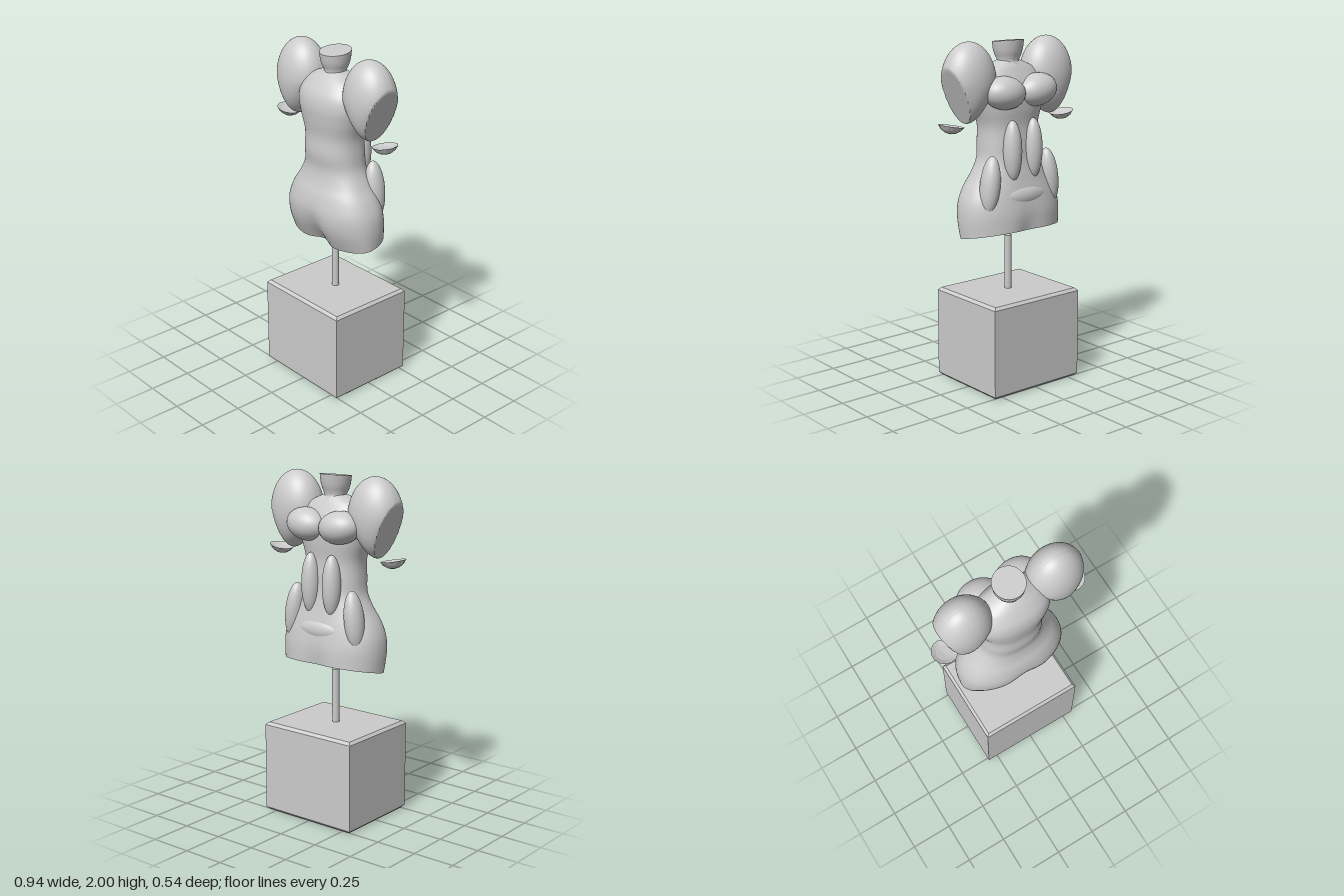
import * as THREE from 'three';
import { toCreasedNormals } from 'three/addons/utils/BufferGeometryUtils.js';

const material = new THREE.MeshStandardMaterial({ color: 0xcccccc });
const flatMaterial = new THREE.MeshStandardMaterial({ color: 0xcccccc, flatShading: true, side: THREE.DoubleSide });

function add(parent, name, geometry, mat = material) {
  const mesh = new THREE.Mesh(geometry, mat);
  mesh.name = name;
  parent.add(mesh);
  return mesh;
}

// Torso cross-sections: height, half width, depth towards +z, depth towards -z
const SECTIONS = [
  [0.894, 0.325, 0.13, 0.205], [1.0, 0.33, 0.18, 0.2], [1.09, 0.32, 0.197, 0.187],
  [1.17, 0.287, 0.182, 0.172], [1.25, 0.235, 0.153, 0.155], [1.33, 0.195, 0.14, 0.14],
  [1.42, 0.185, 0.15, 0.135], [1.52, 0.184, 0.147, 0.13], [1.62, 0.212, 0.16, 0.14],
  [1.7, 0.23, 0.165, 0.14], [1.77, 0.218, 0.15, 0.12], [1.83, 0.17, 0.11, 0.09],
  [1.862, 0.11, 0.08, 0.07], [1.885, 0.055, 0.05, 0.05],
];

// Smoothly interpolated cross-section at t in 0..1
function sectionAt(t) {
  const f = t * (SECTIONS.length - 1);
  const i = Math.min(Math.floor(f), SECTIONS.length - 2);
  const u = f - i;
  const at = (k) => SECTIONS[Math.max(0, Math.min(SECTIONS.length - 1, k))];
  return [0, 1, 2, 3].map((c) => {
    const [p, a, b, n] = [at(i - 1)[c], at(i)[c], at(i + 1)[c], at(i + 2)[c]];
    return a + 0.5 * u * (b - p + u * (2 * p - 5 * a + 4 * b - n + u * (3 * (a - b) + n - p)));
  });
}

function torsoPoint(t, angle) {
  const [y, w, front, back] = sectionAt(t);
  const soft = (v) => Math.sign(v) * Math.abs(v) ** 0.88;
  const x = w * soft(Math.cos(angle));
  const s = soft(Math.sin(angle));
  const low = THREE.MathUtils.clamp((1.2 - y) / 0.306, 0, 1);
  // Cleft between the two lower halves, deepest at the cut
  const groove = Math.exp(-((x / 0.075) ** 2)) * low * low * (s > 0 ? 0.35 : 0.12);
  const z = s * (s > 0 ? front : back) * (1 - groove);
  return [x, y - 0.205 * z * low, z];
}

function torsoGeometries(rows = 78, cols = 72) {
  const pos = [], index = [], capPos = [0, 0.894, 0], capIndex = [];
  for (let r = 0; r <= rows; r++) {
    for (let c = 0; c < cols; c++) {
      const p = torsoPoint(r / rows, (c / cols) * Math.PI * 2);
      pos.push(...p);
      const n = (c + 1) % cols;
      if (r === 0) {
        capPos.push(...p);
        capIndex.push(0, c + 1, n + 1);
      }
      if (r < rows) {
        const a = r * cols + c, b = r * cols + n;
        index.push(a, a + cols, b, b, a + cols, b + cols);
      }
    }
  }
  return [[pos, index], [capPos, capIndex]].map(([p, i]) => {
    const g = new THREE.BufferGeometry();
    g.setAttribute('position', new THREE.Float32BufferAttribute(p, 3));
    g.setIndex(i);
    g.computeVertexNormals();
    return g;
  });
}

// Tapered ellipsoid with its outer side sliced off flat
function shoulderGeometry(side) {
  const g = new THREE.SphereGeometry(1, 80, 60);
  const p = g.attributes.position;
  const centre = new THREE.Vector3(0.28, 1.775, 0);
  const normal = new THREE.Vector3(0.93, -0.36, 0).normalize();
  const onCut = new THREE.Vector3(0.37, 1.705, 0);
  const reach = onCut.clone().sub(centre).dot(normal);
  const v = new THREE.Vector3();
  for (let i = 0; i < p.count; i++) {
    v.fromBufferAttribute(p, i);
    const taper = 1 - 0.45 * Math.max(0, -v.y);
    v.set(v.x * 0.165, v.y * 0.225, v.z * 0.135);
    v.x = 0.05 + (v.x - 0.05) * taper;
    const d = v.dot(normal);
    if (d > reach) v.multiplyScalar(reach / d);
    v.add(centre);
    p.setXYZ(i, v.x * side, v.y, v.z);
  }
  if (side < 0) {
    const idx = g.index.array;
    for (let i = 0; i < idx.length; i += 3) [idx[i], idx[i + 1]] = [idx[i + 1], idx[i]];
  }
  g.deleteAttribute('uv');
  g.deleteAttribute('normal');
  return toCreasedNormals(g, 0.6);
}

function ellipsoid(parent, name, radii, position, tilt = 0) {
  const mesh = add(parent, name, new THREE.SphereGeometry(1, 40, 28));
  mesh.scale.set(...radii);
  mesh.position.set(...position);
  mesh.rotation.z = tilt;
  return mesh;
}

// Cup-like neck with a slightly sloping flat top
function neckGeometry() {
  const profile = [[0.078, 1.855], [0.064, 1.872], [0.063, 1.885], [0.075, 1.91], [0.085, 1.945], [0.09, 1.99], [0, 1.99]];
  const g = new THREE.LatheGeometry(profile.map(([x, y]) => new THREE.Vector2(x, y)), 48);
  const p = g.attributes.position;
  for (let i = 0; i < p.count; i++) {
    const w = THREE.MathUtils.clamp((p.getY(i) - 1.88) / 0.11, 0, 1);
    p.setY(i, p.getY(i) - 0.11 * w * p.getZ(i));
  }
  return toCreasedNormals(g, 0.7);
}

// Block with narrow chamfers on every edge
function plinthGeometry() {
  const b = 0.016, w = 0.313 - b, d = 0.268 - b;
  const shape = new THREE.Shape([[-w, -d], [w, -d], [w, d], [-w, d]].map(([x, y]) => new THREE.Vector2(x, y)));
  // Corners cut at 45 degrees by a one-step bevel
  const corners = [];
  for (const [x, y, sx, sy] of [[-w, -d, 0, 1], [w, -d, 1, 0], [w, d, 0, 1], [-w, d, 1, 0]]) {
    const ex = new THREE.Vector2(x + Math.sign(x) * b, y), ey = new THREE.Vector2(x, y + Math.sign(y) * b);
    corners.push(...(sy ? [ex, ey] : [ey, ex]));
  }
  const outline = corners.map((c) => c.clone().multiply(new THREE.Vector2(w / (w + b), d / (d + b))));
  shape.setFromPoints(outline);
  const g = new THREE.ExtrudeGeometry(shape, {
    depth: 0.545 - 2 * b, bevelEnabled: true, bevelSize: b, bevelThickness: b, bevelSegments: 1,
  });
  return g.rotateX(-Math.PI / 2).translate(0, b, 0);
}

export function createModel() {
  const model = new THREE.Group();
  model.name = 'torsoOnPlinth';

  // Stand
  add(model, 'plinth', plinthGeometry());
  add(model, 'rod', new THREE.CylinderGeometry(0.021, 0.021, 0.325, 16).translate(0, 0.7025, 0));

  // Body
  const [body, cut] = torsoGeometries();
  add(model, 'torso', body);
  add(model, 'torsoCut', cut);
  add(model, 'neck', neckGeometry());
  ellipsoid(model, 'lowerBelly', [0.17, 0.07, 0.06], [0, 1.125, -0.13]);

  for (const side of [1, -1]) {
    const label = side > 0 ? 'left' : 'right';
    add(model, label + 'Shoulder', shoulderGeometry(side));
    ellipsoid(model, label + 'ChestMuscle', [0.13, 0.093, 0.1], [side * 0.115, 1.715, -0.11], side * 0.12);
    ellipsoid(model, label + 'BellyMuscle', [0.054, 0.175, 0.055], [side * 0.075, 1.385, -0.132]);
    ellipsoid(model, label + 'HipMuscle', [0.055, 0.17, 0.062], [side * 0.215, 1.2, -0.105], side * 0.12);

    // Loose shallow cap hanging below the shoulder
    const capProfile = [[0, 0.0], [0.032, 0.007], [0.056, 0.023], [0.073, 0.046], [0.045, 0.035], [0, 0.03]];
    const cap = add(model, label + 'ArmCap',
      new THREE.LatheGeometry(capProfile.map(([x, y]) => new THREE.Vector2(x, y)), 14), flatMaterial);
    cap.position.set(side * 0.41, 1.503, 0);
    cap.rotation.z = side * 0.17;
  }
  return model;
}
